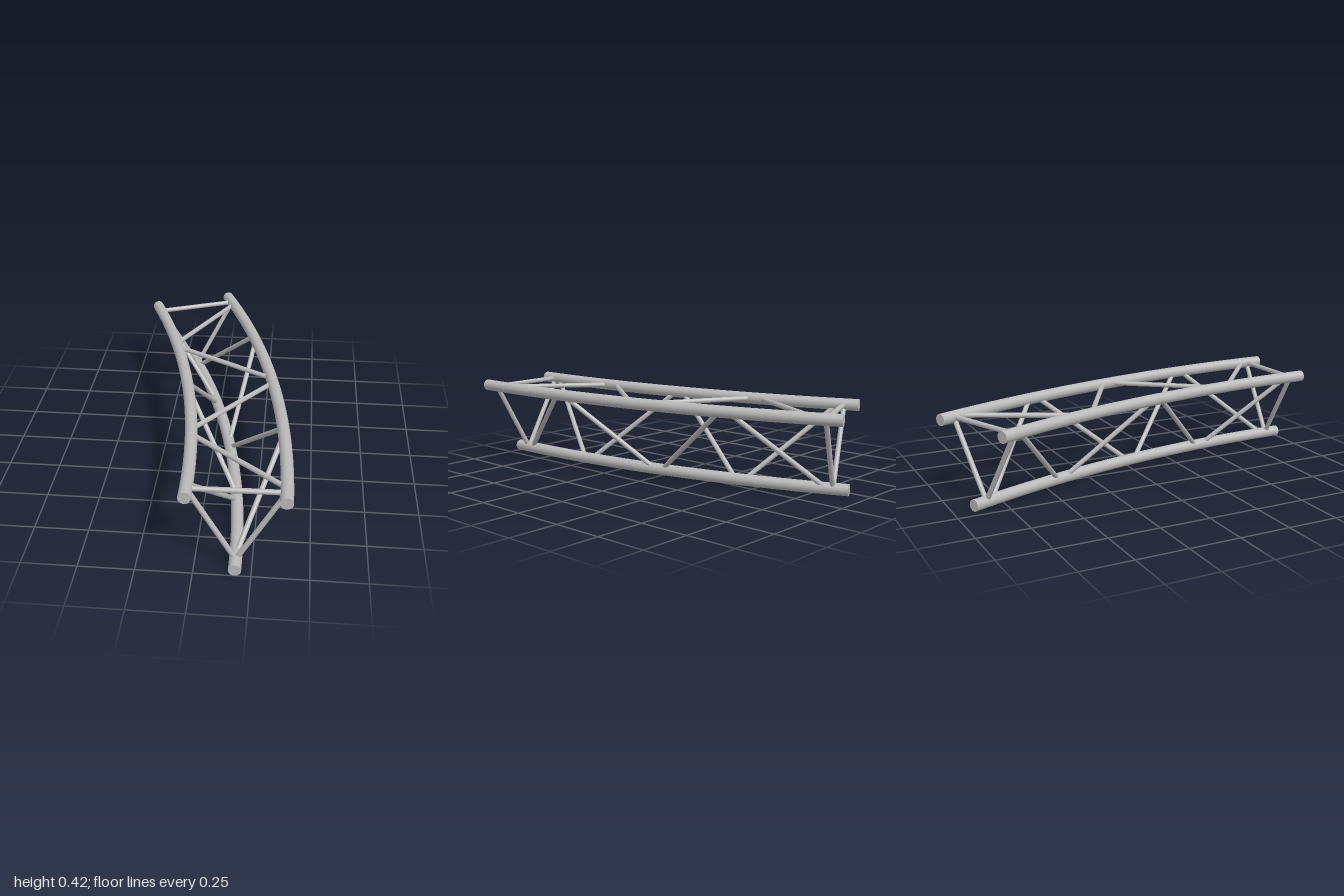
import * as THREE from 'three';

const SWEEP = Math.PI / 8;      // angle covered by the curved truss
const CENTRE_X = -4.81;         // shared centre of all three arcs
const CENTRE_Z = 1;
const TUBE_R = 0.0285;
const BRACE_R = 0.012;

const CHORDS = {
  inner: { radius: 4.78, y: 0.392 },
  outer: { radius: 5.198, y: 0.392 },
  bottom: { radius: 4.99, y: 0.0285 },
};

// Point on a chord's centre line, t from 0 (front) to 1 (back)
function chordPoint(name, t) {
  const { radius, y } = CHORDS[name];
  const a = t * SWEEP;
  return new THREE.Vector3(CENTRE_X + radius * Math.cos(a), y, CENTRE_Z - radius * Math.sin(a));
}

// Curved main tube with flat closed ends
function makeChord(name, material) {
  const chord = new THREE.Group();
  chord.name = name + 'Chord';
  const { radius, y } = CHORDS[name];
  const tube = new THREE.Mesh(new THREE.TorusGeometry(radius, TUBE_R, 24, 32, SWEEP), material);
  tube.name = name + 'Tube';
  tube.rotation.x = -Math.PI / 2;
  tube.position.set(CENTRE_X, y, CENTRE_Z);
  chord.add(tube);
  [0, 1].forEach((t) => {
    const cap = new THREE.Mesh(new THREE.CircleGeometry(TUBE_R, 24), material);
    cap.name = name + (t ? 'BackCap' : 'FrontCap');
    cap.position.copy(chordPoint(name, t));
    cap.rotation.y = t ? SWEEP + Math.PI : 0;
    chord.add(cap);
  });
  return chord;
}

// Straight thin tube between two chords, its ends sunk into their walls
function makeBrace(nameA, tA, nameB, tB, material) {
  const a = chordPoint(nameA, tA);
  const b = chordPoint(nameB, tB);
  const dir = b.clone().sub(a).normalize();
  a.addScaledVector(dir, 0.018);
  b.addScaledVector(dir, -0.018);
  const brace = new THREE.Mesh(
    new THREE.CylinderGeometry(BRACE_R, BRACE_R, a.distanceTo(b), 16), material);
  brace.position.copy(a).add(b).multiplyScalar(0.5);
  brace.quaternion.setFromUnitVectors(new THREE.Vector3(0, 1, 0), dir);
  return brace;
}

export function createModel() {
  const model = new THREE.Group();
  model.name = 'curvedTriangularTruss';
  const metal = new THREE.MeshStandardMaterial({ color: 0xb8b8b8 });
  metal.name = 'aluminium grey';

  Object.keys(CHORDS).forEach((name) => model.add(makeChord(name, metal)));

  // Each face: end struts plus a four-leg zigzag starting on the first chord
  const faces = [
    ['topFace', 'outer', 'inner'],
    ['innerFace', 'inner', 'bottom'],
    ['outerFace', 'bottom', 'outer'],
  ];
  const legs = [[0.054, 0.26], [0.282, 0.489], [0.511, 0.718], [0.74, 0.946]];
  faces.forEach(([faceName, first, second]) => {
    const face = new THREE.Group();
    face.name = faceName + 'Bracing';
    [0.038, 0.962].forEach((t) => {
      const strut = makeBrace(first, t, second, t, metal);
      strut.name = 'endStrut';
      face.add(strut);
    });
    legs.forEach(([t0, t1], i) => {
      const [from, to] = i % 2 ? [second, first] : [first, second];
      const diagonal = makeBrace(from, t0, to, t1, metal);
      diagonal.name = 'diagonalBrace';
      face.add(diagonal);
    });
    model.add(face);
  });
  return model;
}
